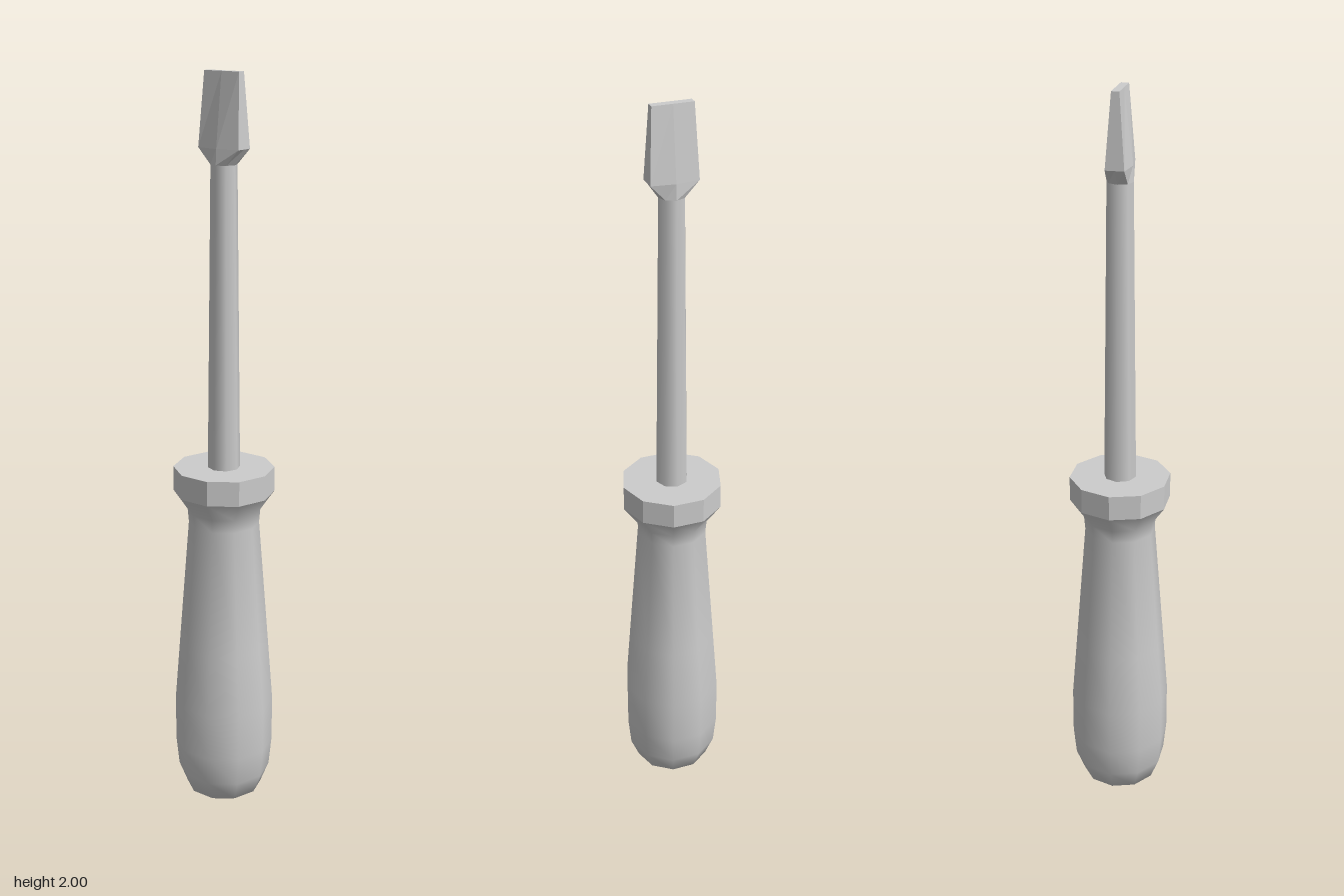
import * as THREE from 'three';
import { toCreasedNormals } from 'three/addons/utils/BufferGeometryUtils.js';

const smooth = new THREE.MeshStandardMaterial({ color: 0xcccccc });
const flat = new THREE.MeshStandardMaterial({ color: 0xcccccc, flatShading: true });

function lathe(points, sides) {
  return new THREE.LatheGeometry(points.map(([r, y]) => new THREE.Vector2(r, y)), sides);
}

// Skin between rings of equal point count, closed by a cap on the last ring
function loft(rings) {
  const n = rings[0].length;
  const index = [];
  for (let r = 0; r < rings.length - 1; r++) {
    for (let i = 0; i < n; i++) {
      const a = r * n + i, b = r * n + (i + 1) % n;
      index.push(a, b, b + n, a, b + n, a + n);
    }
  }
  const last = (rings.length - 1) * n;
  for (let i = 1; i < n - 1; i++) index.push(last, last + i, last + i + 1);
  const geometry = new THREE.BufferGeometry();
  geometry.setAttribute('position', new THREE.Float32BufferAttribute(rings.flat(2), 3));
  geometry.setIndex(index);
  geometry.computeVertexNormals();
  return geometry;
}

// Eight-point ring: half width x at the corners, xm at the middle, half depth z at the corners, zm at the middle
function ring(y, x, z, xm, zm) {
  return [[0, y, zm], [x, y, z], [xm, y, 0], [x, y, -z],
    [0, y, -zm], [-x, y, -z], [-xm, y, 0], [-x, y, z]];
}

export function createModel() {
  const group = new THREE.Group();
  const add = (name, geometry, material) => {
    const mesh = new THREE.Mesh(geometry, material);
    mesh.name = name;
    group.add(mesh);
  };

  // Ten-sided grip with rounded butt, tapering to a flared neck
  add('handle', toCreasedNormals(lathe([
    [0, 0], [0.055, 0.014], [0.103, 0.043], [0.126, 0.1], [0.134, 0.18], [0.134, 0.31],
    [0.121, 0.48], [0.094, 0.83], [0.097, 0.865], [0.134, 0.918],
  ], 10), 0.8), smooth);

  // Flat-faced collar on top of the grip
  add('collar', lathe([[0.134, 0.918], [0.134, 0.985], [0, 0.985]], 10), flat);

  // Slightly tapered steel shaft
  add('shaft', lathe([[0.043, 0.98], [0.034, 1.775]], 8), smooth);

  // Blade flares out of the shaft, then narrows to the tip
  const d = 0.034 * Math.SQRT1_2;
  add('blade', loft([
    ring(1.775, d, d, 0.034, 0.034),
    ring(1.815, 0.024, 0.062, 0.032, 0.062),
    ring(2, 0.01, 0.053, 0.01, 0.053),
  ]), flat);

  return group;
}
